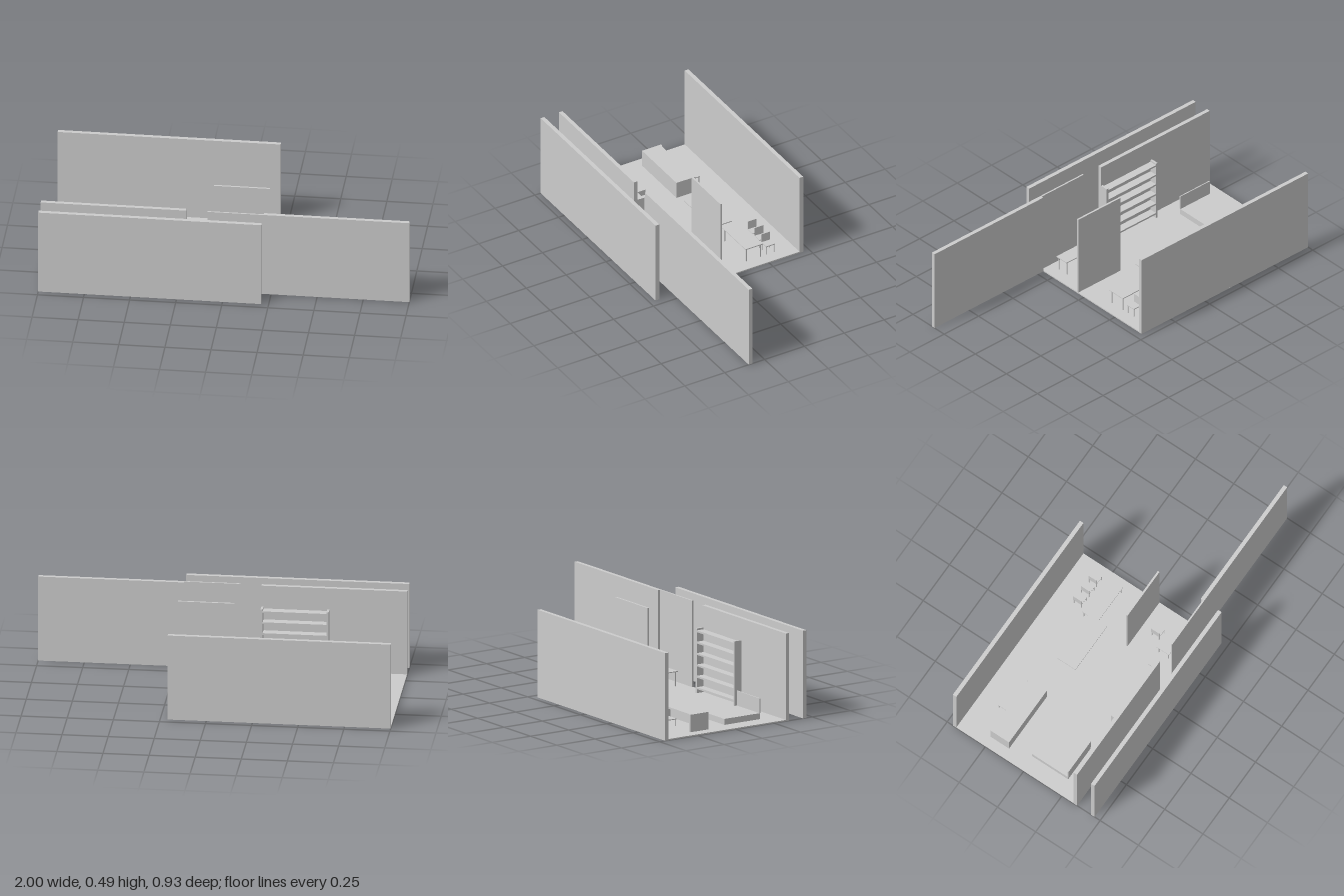
import * as THREE from 'three';

export function createModel() {
  const model = new THREE.Group();
  model.name = 'openRoom';
  const grey = new THREE.MeshStandardMaterial({ color: 0xcccccc });
  grey.name = 'plainGrey';
  const F = 0.007; // floor surface height

  // Box given by its limits on each axis
  function box(name, [x0, x1], [y0, y1], [z0, z1], parent = model) {
    const m = new THREE.Mesh(new THREE.BoxGeometry(x1 - x0, y1 - y0, z1 - z0), grey);
    m.position.set((x0 + x1) / 2, (y0 + y1) / 2, (z0 + z1) / 2);
    m.name = name;
    parent.add(m);
    return m;
  }
  function group(name) {
    const g = new THREE.Group();
    g.name = name;
    model.add(g);
    return g;
  }
  // Four square legs inset from the corners of a rectangle
  function legs(parent, [x0, x1], [z0, z1], top, inset, t) {
    for (const x of [x0 + inset, x1 - inset - t])
      for (const z of [z0 + inset, z1 - inset - t])
        box('leg', [x, x + t], [F, top], [z, z + t], parent);
  }

  // Floor and walls
  const H = [0, 0.486];
  box('floor', [-1, 0.21], [0, F], [-0.463, 0.349]);
  box('backWall', [-1, 0.21], H, [-0.463, -0.44]);
  box('outerFrontWall', [-1, 0.21], H, [0.44, 0.463]);
  box('innerFrontWall', [-1, -0.21], H, [0.327, 0.349]);
  box('sideFrontWall', [0.21, 1], H, [0.327, 0.349]);
  box('thinFrontPanel', [-0.095, 0.21], H, [0.34, 0.349]);
  box('partition', [-0.095, 0.21], [F, 0.486], [0.046, 0.057]);

  // Open bookshelf against the inner wall
  const shelf = group('bookshelf');
  for (const x of [-0.58, -0.222]) box('shelfSide', [x, x + 0.012], [F, 0.365], [0.282, 0.327], shelf);
  for (let i = 0; i < 6; i++) {
    const y = 0.03 + i * 0.063;
    box('shelfBoard', [-0.568, -0.222], [y, y + 0.01], [0.282, 0.327], shelf);
  }

  // Low bed with headboard
  const bed = group('bed');
  box('mattress', [-0.905, -0.69], [F, 0.04], [-0.01, 0.225], bed);
  box('headboard', [-0.905, -0.69], [0.04, 0.122], [0.221, 0.227], bed);

  // Thin-topped tables
  function table(name, xs, zs) {
    const g = group(name);
    box('tableTop', xs, [0.087, 0.092], zs, g);
    legs(g, xs, zs, 0.087, 0.007, 0.005);
  }
  table('desk', [-0.035, 0.15], [0.205, 0.287]);
  table('diningTable', [-0.095, 0.15], [-0.245, -0.137]);

  // Chairs
  function chair(x, z) {
    const g = group('chair');
    const xs = [x, x + 0.053], zs = [z, z + 0.054];
    box('seat', xs, [0.055, 0.06], zs, g);
    box('chairBack', [x, x + 0.004], [0.06, 0.11], zs, g);
    legs(g, xs, zs, 0.055, 0.001, 0.004);
  }
  chair(0.03, 0.126);
  for (const x of [-0.055, 0.017, 0.089]) chair(x, -0.325);

  // Counter open towards the back wall
  const counter = group('counter');
  for (const x of [-0.94, -0.591]) box('counterSide', [x, x + 0.014], [F, 0.104], [-0.257, -0.137], counter);
  box('counterTop', [-0.926, -0.591], [0.094, 0.104], [-0.251, -0.137], counter);
  box('counterFront', [-0.926, -0.591], [F, 0.094], [-0.145, -0.137], counter);

  // Bench at the counter
  const bench = group('bench');
  box('benchSeat', [-0.78, -0.64], [0.044, 0.049], [-0.32, -0.237], bench);
  legs(bench, [-0.78, -0.64], [-0.32, -0.237], 0.044, 0.002, 0.004);

  // Raised slab in the middle of the room
  box('raisedSlab', [-0.397, -0.095], [0.11, 0.116], [-0.197, -0.076]);

  return model;
}
